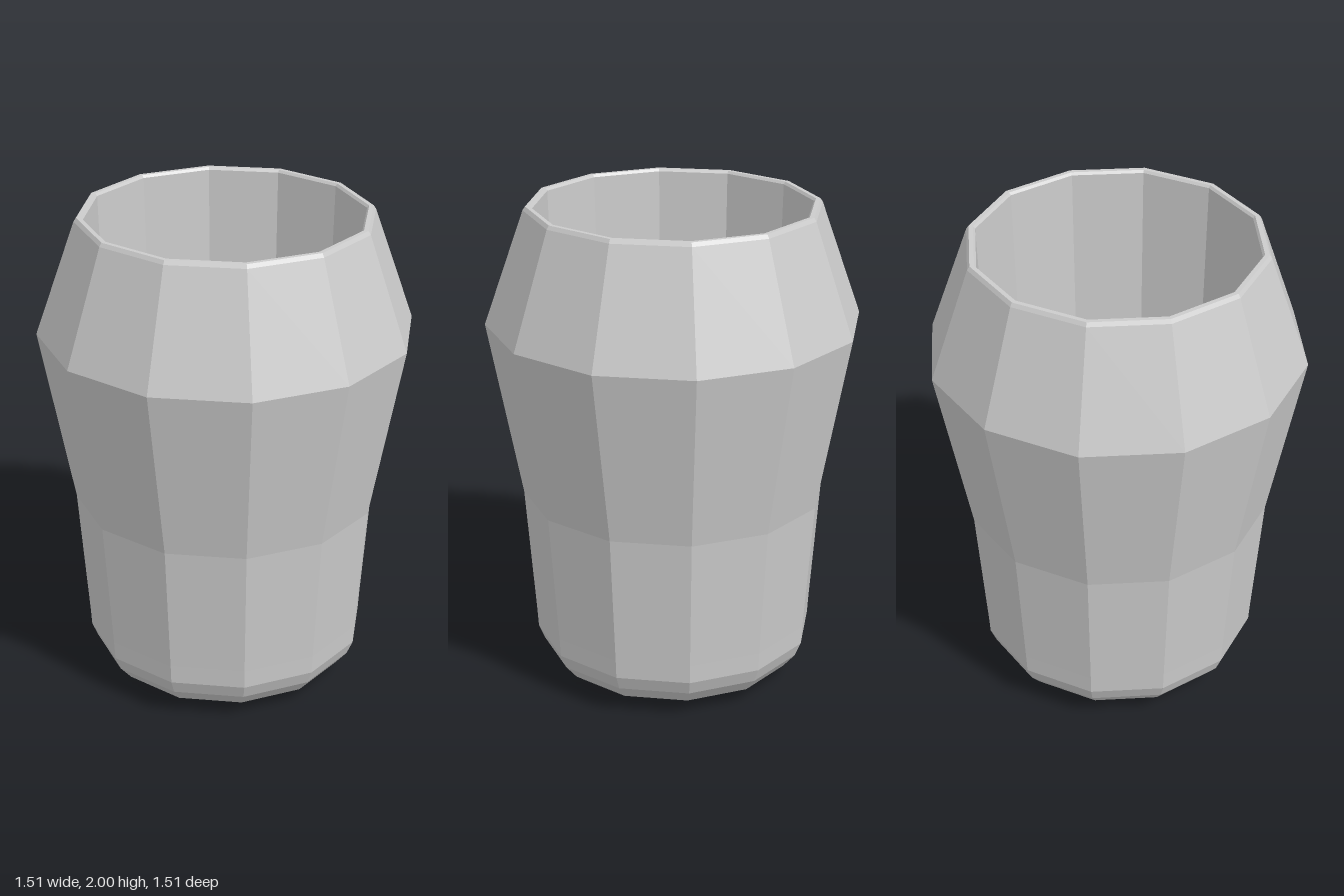
import * as THREE from 'three';

const SIDES = 12;

// Revolves [radius, height] pairs into a faceted twelve-sided surface
function turned(name, profile, material) {
  const points = profile.map(([r, y]) => new THREE.Vector2(r, y));
  const mesh = new THREE.Mesh(new THREE.LatheGeometry(points, SIDES), material);
  mesh.name = name;
  return mesh;
}

export function createModel() {
  const group = new THREE.Group();
  group.name = 'cup';
  const material = new THREE.MeshStandardMaterial({ color: 0xcccccc, flatShading: true });

  // Underside and chamfered foot
  group.add(turned('foot', [
    [0, 0], [0.28, 0], [0.5, 0.06], [0.55, 0.12], [0.575, 0.18],
  ], material));

  // Outer wall, flaring to the shoulder and closing in to the mouth
  group.add(turned('outerWall', [
    [0.575, 0.18], [0.58, 0.26], [0.62, 0.8], [0.755, 1.525], [0.593, 1.985],
  ], material));

  // Softened lip
  group.add(turned('rim', [
    [0.593, 1.985], [0.583, 2], [0.565, 2], [0.557, 1.99],
  ], material));

  // Tapered hollow and floor
  group.add(turned('innerWall', [
    [0.557, 1.99], [0.503, 0.17], [0.49, 0.15],
  ], material));
  group.add(turned('floor', [[0.49, 0.15], [0, 0.15]], material));

  return group;
}
